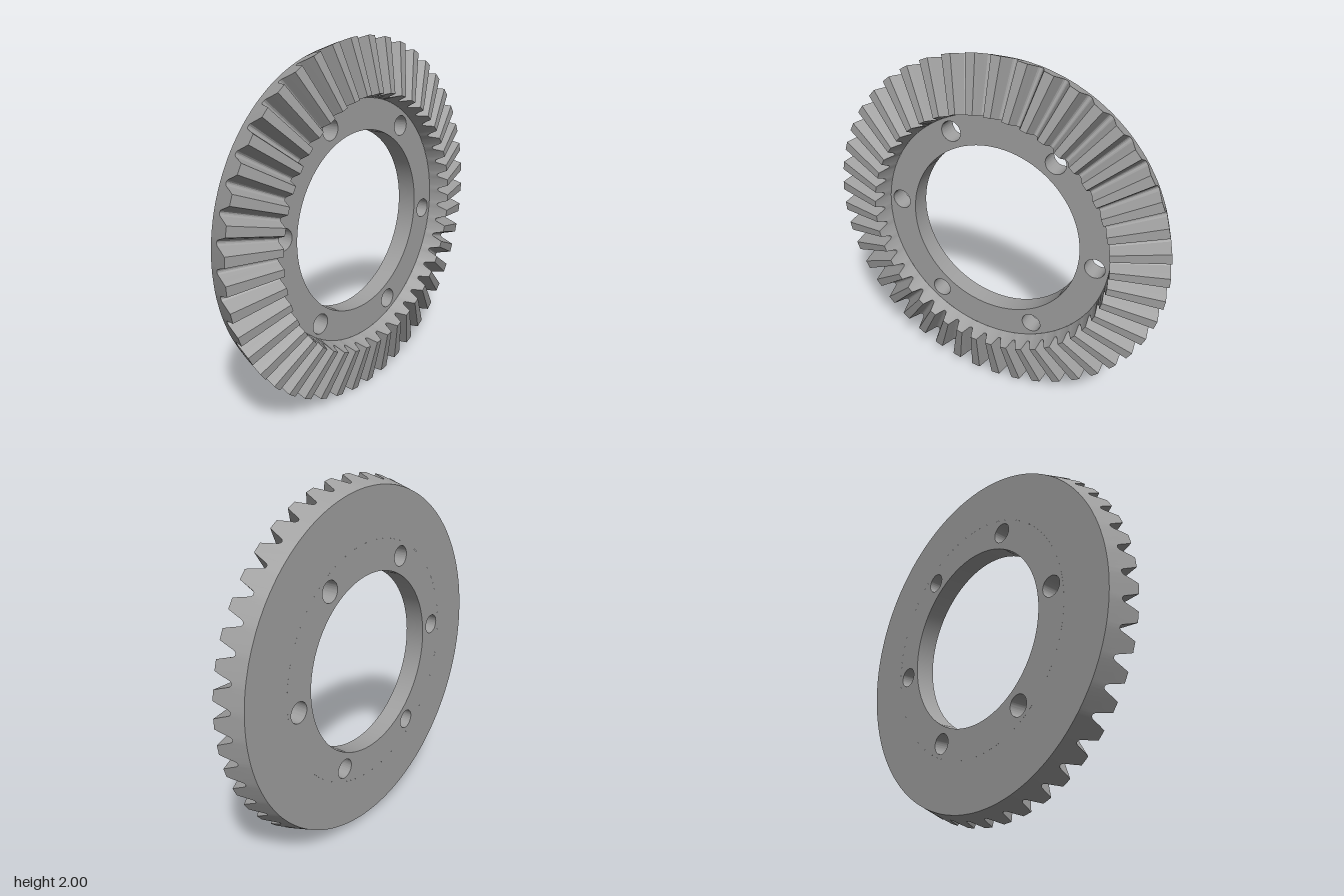
import * as THREE from 'three';
import { toCreasedNormals } from 'three/addons/utils/BufferGeometryUtils.js';

const TEETH = 45, PITCH = (Math.PI * 2) / TEETH;
const BACK = -0.105, FACE = 0.01;      // axial limits of the hub
const BORE = 0.51, HUB = 0.68;         // hub radii

// One tooth: [position in pitches, height from root (0) to tip (1)]
const PROFILE = [
  [-0.5, 0], [-0.45, 0.02], [-0.4, 0.1], [-0.365, 0.24], [-0.285, 0.6], [-0.19, 1],
  [0.19, 1], [0.285, 0.6], [0.365, 0.24], [0.4, 0.1], [0.45, 0.02],
];

const mix = (a, b, t) => [a[0] + (b[0] - a[0]) * t, a[1] + (b[1] - a[1]) * t];

// Cross-section as [radius, axial] rows, for a given tooth height
function section(h) {
  return [
    [HUB, BACK],
    [0.952, BACK],
    mix([0.974, -0.04], [1.0, 0.046], h),    // outer end of tooth
    mix([0.692, 0.062], [0.712, 0.123], h),  // inner end of tooth
    [HUB, FACE],
  ];
}

// Toothed rim: sweep the section around the axis
function rimGeometry() {
  const pos = [], index = [], rows = 5, cols = TEETH * PROFILE.length;
  for (let t = 0; t < TEETH; t++) {
    for (const [p, h] of PROFILE) {
      const a = (t + p) * PITCH;
      for (const [r, z] of section(h)) pos.push(r * Math.cos(a), r * Math.sin(a), z);
    }
  }
  for (let j = 0; j < cols; j++) {
    const k = ((j + 1) % cols) * rows;
    for (let i = 0; i < rows - 1; i++) {
      const a = j * rows + i, c = k + i;
      index.push(a, c, a + 1, c, c + 1, a + 1);
    }
  }
  const g = new THREE.BufferGeometry();
  g.setAttribute('position', new THREE.Float32BufferAttribute(pos, 3));
  g.setIndex(index);
  return toCreasedNormals(g, 0.35);
}

// Hub ring with central bore and six bolt holes
function hubGeometry() {
  const shape = new THREE.Shape().absarc(0, 0, HUB, 0, Math.PI * 2, false);
  const hole = (x, y, r) =>
    shape.holes.push(new THREE.Path().absarc(x, y, r, 0, Math.PI * 2, true));
  hole(0, 0, BORE);
  for (let i = 0; i < 6; i++) {
    const a = (i * Math.PI) / 3 - 0.098;
    hole(0.603 * Math.cos(a), 0.603 * Math.sin(a), 0.057);
  }
  const g = new THREE.ExtrudeGeometry(shape, {
    depth: FACE - BACK, bevelEnabled: false, curveSegments: 48,
  });
  g.translate(0, 0, BACK);
  return toCreasedNormals(g, 0.5);
}

export function createModel() {
  const steel = new THREE.MeshStandardMaterial({ color: 0xa0a0a0 });
  steel.name = 'steel grey';

  const rim = new THREE.Mesh(rimGeometry(), steel);
  rim.name = 'toothedRim';
  const hub = new THREE.Mesh(hubGeometry(), steel);
  hub.name = 'hub';

  // Stand the gear upright with its axis turned 45 degrees
  const gear = new THREE.Group();
  gear.name = 'bevelGear';
  gear.add(rim, hub);
  gear.rotation.y = Math.PI / 4;
  gear.position.y = 1;

  const model = new THREE.Group();
  model.name = 'gearModel';
  model.add(gear);
  return model;
}
